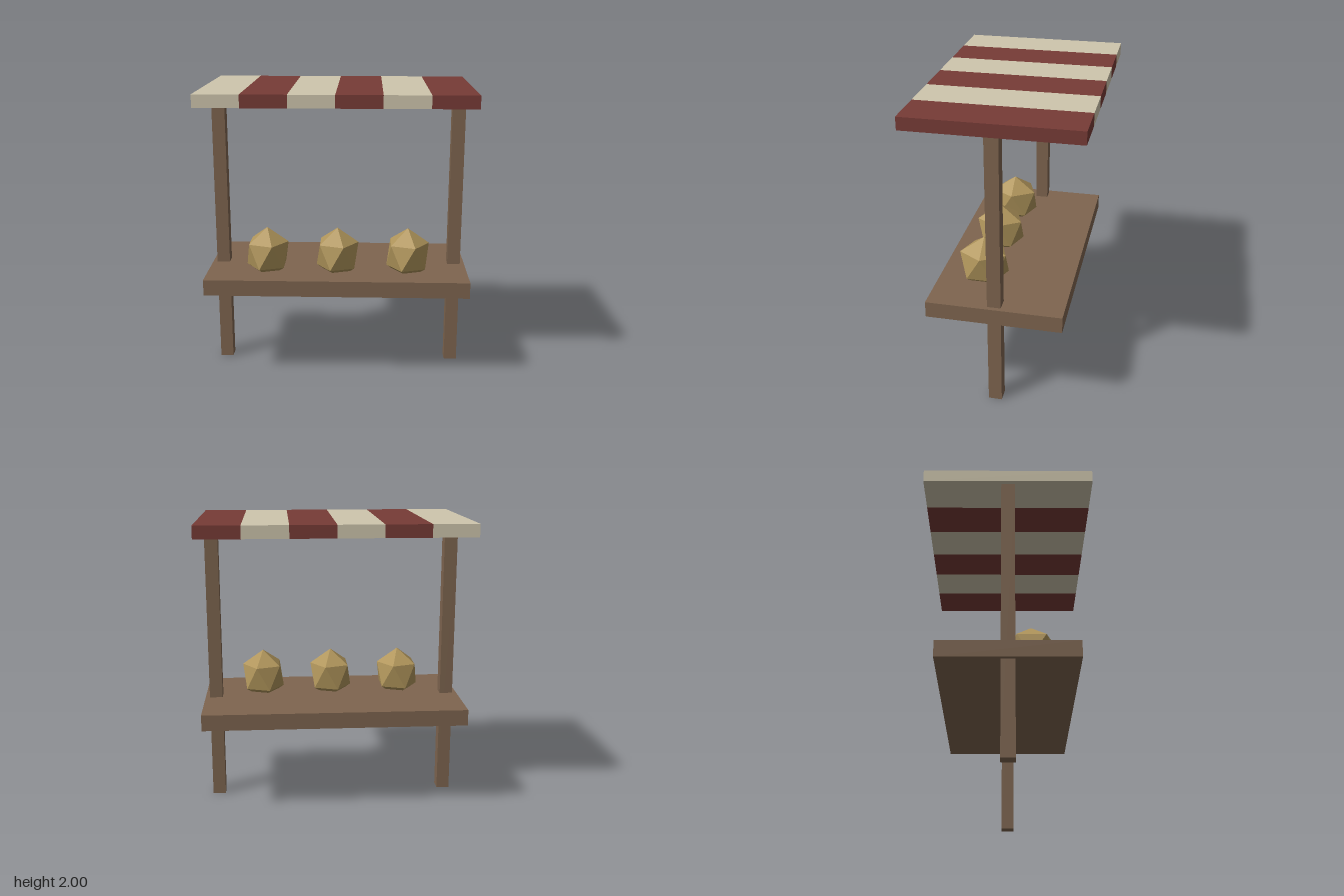
import * as THREE from 'three';

const material = (name, color) => {
  const m = new THREE.MeshStandardMaterial({ color });
  m.name = name;
  return m;
};

export function createModel() {
  const group = new THREE.Group();
  const wood = material('brown wood', 0x7e654f);
  const cream = material('cream cloth', 0xcfc6ad);
  const red = material('red cloth', 0x773b36);
  const gold = material('golden goods', 0xb0955b);

  const add = (name, geometry, mat, x, y, z) => {
    const mesh = new THREE.Mesh(geometry, mat);
    mesh.name = name;
    mesh.position.set(x, y, z);
    group.add(mesh);
    return mesh;
  };

  // Two upright posts, running through the counter to the awning
  const postHeight = 1.915;
  for (const side of [-1, 1]) {
    add(side > 0 ? 'leftPost' : 'rightPost',
      new THREE.BoxGeometry(0.09, postHeight, 0.09), wood, side * 0.825, postHeight / 2, 0);
  }

  // Counter board
  add('counter', new THREE.BoxGeometry(1.8, 0.11, 0.9), wood, 0, 0.68, 0);

  // Striped flat awning: outer side caps only on the end stripes
  const hidden = { 0: [0], 5: [1] };
  for (let i = 0; i < 6; i++) {
    const stripe = new THREE.BoxGeometry(0.3, 0.085, 1.125);
    // Drop the faces where neighbouring stripes meet
    const skip = hidden[i] ?? [0, 1];
    stripe.groups = stripe.groups.filter((g) => !skip.includes(g.materialIndex));
    const mat = i % 2 ? red : cream;
    add('awningStripe' + (i + 1), stripe, Array(6).fill(mat), -0.75 + i * 0.3, 1.9575, 0);
  }

  // Faceted goods: icosahedra stood on a corner, slightly narrow, sunk into the counter
  const goods = new THREE.IcosahedronGeometry(1, 0);
  goods.rotateZ(-Math.atan(2 / (1 + Math.sqrt(5))));
  goods.scale(0.164, 0.185, 0.184);
  goods.computeVertexNormals();
  gold.flatShading = true;
  [-0.49, 0, 0.49].forEach((x, i) => add('goods' + (i + 1), goods, gold, x, 0.844, 0.153));

  return group;
}
